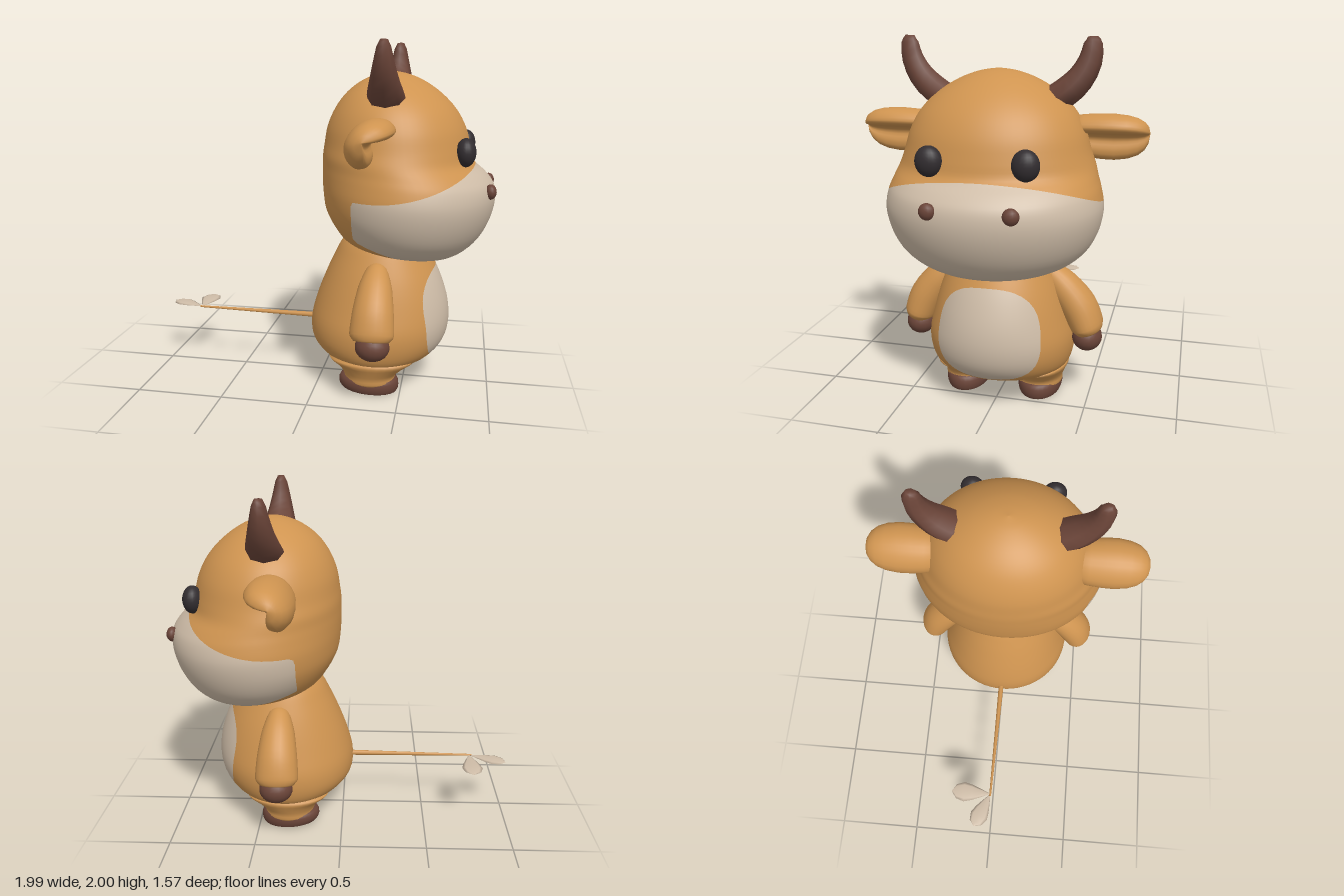
import * as THREE from 'three';

const mat = (name, color) => Object.assign(new THREE.MeshStandardMaterial({ color }), { name });
const V = (x, y, z) => new THREE.Vector3(x, y, z);

// Closed smooth skin over equal-length rings, always facing outwards
function skin(rings) {
  const n = rings[0].length, pts = rings.flat(), index = [];
  for (let i = 0; i < rings.length - 1; i++) {
    for (let j = 0; j < n; j++) {
      const a = i * n + j, b = i * n + (j + 1) % n;
      index.push(a, b, b + n, a, b + n, a + n);
    }
  }
  const mid = pts.reduce((s, p) => s.add(p), V(0, 0, 0)).divideScalar(pts.length);
  let volume = 0;
  for (let i = 0; i < index.length; i += 3) {
    const [a, b, c] = [0, 1, 2].map(k => pts[index[i + k]].clone().sub(mid));
    volume += a.dot(b.cross(c));
  }
  const g = new THREE.BufferGeometry().setFromPoints(pts);
  g.setIndex(volume < 0 ? index.reverse() : index);
  g.computeVertexNormals();
  return g;
}

// Rows of [back x, back y, front x, front y, half width] lofted into a round form
function loft(rows, zc = 0, steps = 4, sides = 48) {
  const back = new THREE.CatmullRomCurve3(rows.map(r => V(r[0], r[1], r[4])));
  const front = new THREE.CatmullRomCurve3(rows.map(r => V(r[2], r[3], 0)));
  const count = (rows.length - 1) * steps, rings = [];
  for (let i = 0; i <= count; i++) {
    const b = back.getPoint(i / count), f = front.getPoint(i / count), ring = [];
    for (let j = 0; j < sides; j++) {
      const t = j / sides * Math.PI * 2, k = (1 + Math.cos(t)) / 2;
      ring.push(V(b.x + (f.x - b.x) * k, b.y + (f.y - b.y) * k, zc + Math.max(0, b.z) * Math.sin(t)));
    }
    rings.push(ring);
  }
  return skin(rings);
}

// Limb swept in an upright plane at x: rows of [z, y, radius along x, radius in plane]
function sweep(x, rows, steps, sides) {
  const path = new THREE.CatmullRomCurve3(rows.map(r => V(0, r[1], r[0])));
  const size = new THREE.CatmullRomCurve3(rows.map(r => V(r[2], r[3], 0)));
  const count = (rows.length - 1) * steps, rings = [];
  for (let i = 0; i <= count; i++) {
    const p = path.getPoint(i / count), d = path.getTangent(i / count), s = size.getPoint(i / count);
    rings.push(Array.from({ length: sides }, (_, j) => {
      const t = j / sides * Math.PI * 2, k = s.y * Math.sin(t);
      return V(x + s.x * Math.cos(t), p.y + d.z * k, p.z - d.y * k);
    }));
  }
  const end = ring => ring.map(() => ring.reduce((s, p) => s.add(p), V(0, 0, 0)).divideScalar(sides));
  return skin([end(rings[0]), ...rings, end(rings[count])]);
}

function mirrorZ(geometry) {
  const g = geometry.clone().scale(1, 1, -1);
  g.index.array.reverse();
  return g;
}

// Cuts a surface along f = 0 and returns the [inside, outside] surfaces
function splitBy(geometry, f) {
  const P = geometry.attributes.position, N = geometry.attributes.normal, ix = geometry.index.array;
  return [1, -1].map(sign => {
    const pos = [], nor = [];
    for (let i = 0; i < ix.length; i += 3) {
      const tri = [0, 1, 2].map(k => {
        const p = V().fromBufferAttribute(P, ix[i + k]);
        return { p, n: V().fromBufferAttribute(N, ix[i + k]), f: sign * f(p.x, p.y, p.z) };
      });
      const poly = [];
      tri.forEach((a, k) => {
        const b = tri[(k + 1) % 3];
        if (a.f >= 0) poly.push(a);
        if ((a.f >= 0) !== (b.f >= 0)) {
          const t = a.f / (a.f - b.f);
          poly.push({ p: a.p.clone().lerp(b.p, t), n: a.n.clone().lerp(b.n, t).normalize() });
        }
      });
      for (let k = 1; k + 1 < poly.length; k++) {
        for (const v of [poly[0], poly[k], poly[k + 1]]) {
          pos.push(...v.p.toArray());
          nor.push(...v.n.toArray());
        }
      }
    }
    const g = new THREE.BufferGeometry();
    g.setAttribute('position', new THREE.Float32BufferAttribute(pos, 3));
    g.setAttribute('normal', new THREE.Float32BufferAttribute(nor, 3));
    return g;
  });
}

const ball = (r, c, seg = 20) => new THREE.SphereGeometry(1, seg, Math.ceil(seg * 0.7)).scale(...r).translate(...c);

export function createModel() {
  const model = new THREE.Group();
  const fur = mat('fur', 0xcf9450), cream = mat('cream', 0xcfbda8);
  const horn = mat('horn', 0x6a4438), black = mat('eyeBlack', 0x322d30);
  const add = (name, geometry, material) => {
    const mesh = new THREE.Mesh(geometry, material);
    mesh.name = name;
    model.add(mesh);
  };
  const pair = (name, geometry, material) => {
    add(name + 'Left', geometry, material);
    add(name + 'Right', mirrorZ(geometry), material);
  };

  // Head with pale muzzle
  const head = loft([
    [0.45, 0.83, 0.45, 0.83, 0], [0.25, 0.86, 0.68, 0.785, 0.22], [0.14, 0.885, 0.8, 0.81, 0.4],
    [0.08, 0.96, 0.9, 0.89, 0.5], [0.03, 1.06, 0.965, 1.0, 0.555], [0.015, 1.16, 0.995, 1.12, 0.575],
    [0.01, 1.25, 0.985, 1.21, 0.56], [0.01, 1.31, 0.94, 1.27, 0.54], [0.012, 1.37, 0.87, 1.335, 0.52],
    [0.02, 1.43, 0.85, 1.41, 0.495], [0.035, 1.52, 0.82, 1.52, 0.465], [0.07, 1.61, 0.765, 1.62, 0.415],
    [0.13, 1.7, 0.68, 1.71, 0.33], [0.22, 1.775, 0.57, 1.785, 0.21], [0.32, 1.82, 0.48, 1.82, 0.1],
    [0.4, 1.835, 0.4, 1.835, 0]], 0, 4, 64);
  const [muzzle, skull] = splitBy(head, (x, y) => Math.min(
    1.165 + 0.16 * Math.pow(Math.max(0, x - 0.25) / 0.63, 2.4) - y,
    x - 0.24, y - 0.92 + 0.36 * (x - 0.27)));
  add('muzzle', muzzle, cream);
  add('head', skull, fur);

  // Body with belly patch
  const torso = loft([
    [0.38, 0.95, 0.38, 0.95, 0], [0.2, 0.92, 0.56, 0.9, 0.2], [0.13, 0.86, 0.61, 0.84, 0.25],
    [0.08, 0.77, 0.655, 0.76, 0.29], [0.03, 0.66, 0.71, 0.64, 0.335], [-0.03, 0.5, 0.752, 0.5, 0.38],
    [-0.06, 0.37, 0.76, 0.38, 0.41], [-0.05, 0.27, 0.735, 0.28, 0.405], [0.01, 0.2, 0.67, 0.2, 0.375],
    [0.12, 0.15, 0.56, 0.15, 0.28], [0.33, 0.125, 0.33, 0.125, 0]], 0, 4, 64);
  const [belly, body] = splitBy(torso, (x, y, z) => Math.min(x - 0.35,
    1 - Math.pow(Math.abs(z) / (0.282 - 0.08 * (y - 0.46)), 2.6) - Math.pow(Math.abs(y - 0.46) / 0.26, 2.6)));
  add('belly', belly, cream);
  add('body', body, fur);

  // Legs and feet
  pair('leg', loft([
    [0.32, 0.05, 0.32, 0.05, 0], [0.175, 0.06, 0.465, 0.06, 0.125], [0.17, 0.1, 0.47, 0.1, 0.13],
    [0.14, 0.15, 0.52, 0.15, 0.15], [0.08, 0.2, 0.58, 0.2, 0.165], [0.32, 0.3, 0.32, 0.3, 0]], 0.215, 3, 32), fur);
  pair('foot', loft([
    [0.315, 0.008, 0.315, 0.008, 0], [0.165, 0.017, 0.47, 0.001, 0.11], [0.155, 0.02, 0.48, 0.004, 0.116],
    [0.14, 0.05, 0.49, 0.04, 0.126], [0.15, 0.085, 0.48, 0.08, 0.12], [0.19, 0.097, 0.44, 0.095, 0.09],
    [0.315, 0.1, 0.315, 0.1, 0]], 0.215, 2, 32), horn);

  // Arms and hands
  pair('arm', sweep(0.36, [
    [0.235, 0.775, 0.02, 0.02], [0.265, 0.74, 0.06, 0.06], [0.35, 0.655, 0.095, 0.09],
    [0.44, 0.54, 0.115, 0.1], [0.485, 0.44, 0.122, 0.092], [0.495, 0.405, 0.1, 0.075]], 4, 24), fur);
  pair('hand', ball([0.095, 0.078, 0.083], [0.365, 0.37, 0.488]), horn);

  // Horns
  pair('horn', sweep(0.4, [
    [0.27, 1.67, 0.1, 0.07], [0.35, 1.715, 0.1, 0.075], [0.425, 1.785, 0.08, 0.07],
    [0.474, 1.875, 0.057, 0.061], [0.487, 1.96, 0.037, 0.048], [0.485, 1.995, 0.02, 0.025]], 2, 8), horn);

  // Ears: a bean-shaped section, open to the front, tapering to a round tip
  const bean = new THREE.CatmullRomCurve3([
    [0.475, 1.55], [0.44, 1.595], [0.36, 1.61], [0.28, 1.575], [0.225, 1.49], [0.235, 1.41], [0.29, 1.36],
    [0.345, 1.375], [0.355, 1.42], [0.34, 1.47], [0.37, 1.5], [0.42, 1.51], [0.46, 1.525],
  ].map(([x, y]) => V(x, y, 0)), true).getPoints(40).slice(0, 40);
  pair('ear', skin([
    [0.36, 0], [0.36, 0.8], [0.45, 0.93], [0.53, 0.99], [0.6, 1], [0.67, 0.93], [0.72, 0.8],
    [0.755, 0.6], [0.775, 0.35], [0.783, 0],
  ].map(([z, s]) => bean.map(p => V(0.335 + (p.x - 0.335) * s, 1.51 + (p.y - 1.51) * s, z)))), fur);

  // Eyes and nostrils
  pair('eye', ball([0.055, 0.078, 0.07], [0.822, 1.41, 0.242]), black);
  pair('nostril', ball([0.032, 0.042, 0.042], [0.962, 1.195, 0.205], 14), horn);

  // Tail with a two-leaf tuft
  add('tail', new THREE.CylinderGeometry(0.006, 0.017, 0.78, 8)
    .rotateZ(Math.PI / 2).rotateY(-0.012).translate(-0.41, 0.352, -0.006), fur);
  const profile = [[0, 0], [0.022, 0.05], [0.05, 0.12], [0.062, 0.17], [0.045, 0.22], [0, 0.25]];
  [[0, 1], [1.17, 0.92]].forEach(([turn, size], i) => {
    const leaf = new THREE.LatheGeometry(profile.map(p => new THREE.Vector2(...p)), 8)
      .scale(size, size, 0.14).rotateX(-Math.PI / 2).rotateY(turn).translate(-0.786, 0.352, -0.01);
    add('tailTuft' + (i + 1), leaf, cream);
  });
  return model;
}
